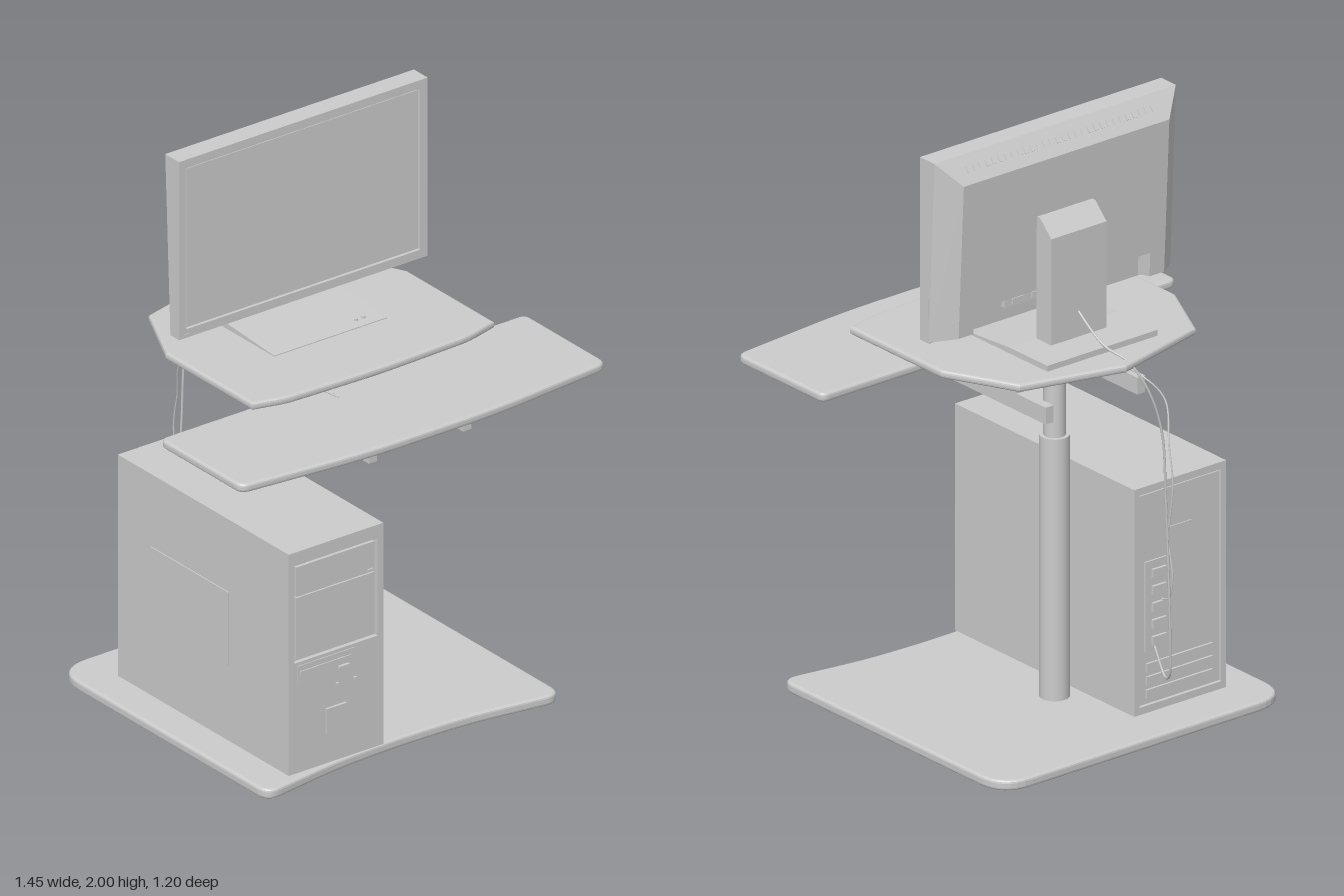
import * as THREE from 'three';

const mat = new THREE.MeshStandardMaterial({ color: 0xcccccc, side: THREE.DoubleSide });

// Closed outline from [x, y, cornerRadius] points
function outline(points) {
  const shape = new THREE.Shape();
  const n = points.length;
  const vec = (i) => new THREE.Vector2(points[(i + n) % n][0], points[(i + n) % n][1]);
  points.forEach(([, , r = 0], i) => {
    const p = vec(i);
    const a = vec(i - 1).sub(p).setLength(r).add(p);
    const b = vec(i + 1).sub(p).setLength(r).add(p);
    if (i === 0) shape.moveTo(a.x, a.y);
    else shape.lineTo(a.x, a.y);
    if (r > 0) shape.quadraticCurveTo(p.x, p.y, b.x, b.y);
  });
  shape.closePath();
  return shape;
}

const rect = (x0, x1, y0, y1) => outline([[x0, y0], [x1, y0], [x1, y1], [x0, y1]]);

// Mirror a right-hand list of points so the outline closes symmetrically
const mirrored = (half) =>
  outline([...half, ...half.filter((p) => p[0] > 0).reverse().map(([x, y, r]) => [-x, y, r])]);

// Move every vertex by a rule
function warp(geo, rule) {
  const pos = geo.attributes.position;
  const v = new THREE.Vector3();
  for (let i = 0; i < pos.count; i++) {
    rule(v.fromBufferAttribute(pos, i));
    pos.setXYZ(i, v.x, v.y, v.z);
  }
  geo.computeVertexNormals();
  return geo;
}

export function createModel() {
  const model = new THREE.Group();
  const add = (parent, name, geo) => {
    const mesh = new THREE.Mesh(geo, mat);
    mesh.name = name;
    parent.add(mesh);
    return mesh;
  };
  const group = (name) => {
    const g = new THREE.Group();
    g.name = name;
    model.add(g);
    return g;
  };
  // Box given by its limits
  const box = (parent, name, x0, x1, y0, y1, z0, z1) =>
    add(parent, name, new THREE.BoxGeometry(x1 - x0, y1 - y0, z1 - z0)
      .translate((x0 + x1) / 2, (y0 + y1) / 2, (z0 + z1) / 2));
  // Horizontal board with softened edges; the outline is in x, z
  const slab = (parent, name, shape, y0, y1) => {
    const b = 0.01;
    add(parent, name, new THREE.ExtrudeGeometry(shape, {
      depth: y1 - y0 - 2 * b, bevelSize: b, bevelThickness: b, bevelOffset: -b, bevelSegments: 3, curveSegments: 8,
    }).rotateX(Math.PI / 2).translate(0, y1 - b, 0));
  };
  // Upright plate; the outline is in x, y
  const plate = (shape, z0, z1) =>
    new THREE.ExtrudeGeometry(shape, { depth: z1 - z0, bevelEnabled: false }).translate(0, 0, z0);
  const framePlate = (outer, hole, z0, z1) => {
    const shape = rect(...outer);
    shape.holes.push(rect(...hole));
    return plate(shape, z0, z1);
  };

  // Desk: foot plate, telescopic post, shelf and keyboard tray
  const desk = group('desk');
  slab(desk, 'footPlate', mirrored([
    [0, 0.44, 0.1], [0.26, 0.45, 0.1], [0.585, 0.5, 0.06], [0.585, -0.605, 0.12],
  ]), 0, 0.035);
  const post = (name, r, y0, y1) =>
    add(desk, name, new THREE.CylinderGeometry(r, r, y1 - y0, 32).translate(0, (y0 + y1) / 2, -0.152));
  post('lowerPost', 0.049, 0.03, 0.935);
  post('upperPost', 0.036, 0.93, 1.27);
  slab(desk, 'keyboardTray', mirrored([
    [0.25, 0.592, 0.15], [0.725, 0.545, 0.035], [0.725, 0.12, 0.03],
  ]), 1.147, 1.177);
  slab(desk, 'monitorShelf', mirrored([
    [0, 0.325, 0.1], [0.36, 0.312, 0.04], [0.48, 0.28], [0.48, -0.17], [0.36, -0.417], [0, -0.51],
  ]), 1.263, 1.29);
  for (const s of [-1, 1]) {
    const x = s * 0.187;
    box(desk, 'trayArm', x - 0.016, x + 0.016, 1.09, 1.148, -0.355, 0.525);
    box(desk, 'armBracket', x - 0.016, x + 0.016, 1.14, 1.268, -0.21, -0.08);
  }

  // Computer tower
  const tower = group('computerTower');
  box(tower, 'towerCase', -0.46, -0.085, 0.035, 0.815, -0.433, 0.43);
  add(tower, 'frontBezel', framePlate([-0.46, -0.085, 0.035, 0.815], [-0.437, -0.108, 0.424, 0.768], 0.43, 0.445));
  box(tower, 'upperDriveCover', -0.428, -0.117, 0.655, 0.759, 0.428, 0.442);
  box(tower, 'lowerDriveCover', -0.428, -0.117, 0.433, 0.651, 0.428, 0.442);
  box(tower, 'driveButton', -0.147, -0.125, 0.66, 0.668, 0.44, 0.448);
  box(tower, 'diskSlotEdge', -0.425, -0.2, 0.408, 0.412, 0.44, 0.448);
  box(tower, 'diskSlotSide', -0.425, -0.421, 0.345, 0.408, 0.44, 0.448);
  box(tower, 'diskSlot', -0.415, -0.215, 0.378, 0.391, 0.44, 0.449);
  box(tower, 'ejectButton', -0.265, -0.225, 0.355, 0.365, 0.44, 0.456);
  for (const x of [-0.27, -0.2]) box(tower, 'indicator', x - 0.004, x + 0.004, 0.3, 0.309, 0.44, 0.454);
  box(tower, 'powerButton', -0.315, -0.235, 0.14, 0.23, 0.44, 0.454);
  box(tower, 'sidePanel', -0.464, -0.455, 0.3, 0.56, -0.27, 0.135);

  // Tower back: rim, power supply, sockets and slots
  add(tower, 'backRim', framePlate([-0.46, -0.085, 0.035, 0.815], [-0.44, -0.105, 0.06, 0.79], -0.445, -0.433));
  box(tower, 'powerSupply', -0.435, -0.11, 0.57, 0.785, -0.441, -0.43);
  box(tower, 'powerSocket', -0.32, -0.22, 0.64, 0.65, -0.445, -0.438);
  box(tower, 'socketPlate', -0.235, -0.135, 0.24, 0.55, -0.439, -0.43);
  for (let i = 0; i < 5; i++) {
    const y = 0.26 + i * 0.058;
    box(tower, 'socket', -0.215, -0.16, y, y + 0.03, -0.449, -0.435);
  }
  for (let i = 0; i < 3; i++) {
    const y = 0.08 + i * 0.045;
    box(tower, 'expansionSlot', -0.41, -0.14, y, y + 0.03, -0.441, -0.43);
  }

  // Monitor: the seam between the housings leans with height
  const monitor = group('monitor');
  const seam = (y) => -0.128 - 0.027 * (y - 1.37) / 0.63;
  add(monitor, 'screenBezel', framePlate([-0.493, 0.493, 1.372, 2], [-0.463, 0.463, 1.402, 1.97], -0.094, -0.083));
  add(monitor, 'frontHousing', warp(plate(rect(-0.493, 0.493, 1.372, 2), -0.2, -0.094),
    (v) => { if (v.z < -0.15) v.z = seam(v.y); }));
  box(monitor, 'screen', -0.457, 0.457, 1.408, 1.964, -0.1, -0.09);
  // Rear shell with a notch below, tapering toward the back
  add(monitor, 'rearShell', warp(
    plate(mirrored([[0.36, 1.47], [0.36, 1.376], [0.493, 1.376], [0.493, 2]]), -0.2, -0.1),
    (v) => {
      if (v.z > -0.15) { v.z = seam(v.y); return; }
      if (Math.abs(v.x) > 0.4) v.x = Math.sign(v.x) * 0.42;
      v.y = v.y > 1.9 ? 1.92 : Math.max(v.y, 1.388);
      v.z = -0.186 - 0.026 * (v.y - 1.388) / 0.532;
    }));
  for (let i = 0; i < 30; i++) {
    const vent = add(monitor, 'vent', new THREE.BoxGeometry(0.016, 0.004, 0.022));
    vent.position.set(-0.377 + i * 0.026, 1.961, -0.183);
    vent.rotation.x = -0.95;
  }
  box(monitor, 'socketBar', -0.2, 0.2, 1.42, 1.46, -0.15, -0.13);
  for (const x of [-0.15, -0.07, 0.07, 0.15]) box(monitor, 'monitorSocket', x - 0.025, x + 0.025, 1.43, 1.45, -0.158, -0.14);
  box(monitor, 'statusLight', -0.472, -0.452, 1.38, 1.386, -0.09, -0.08);
  box(monitor, 'sideButtons', 0.485, 0.495, 1.46, 1.53, -0.127, -0.115);

  // Stand: side profiles in z, y extruded across x
  const acrossX = (name, profile, halfWidth) =>
    add(monitor, name, plate(outline(profile.map(([z, y]) => [-z, y])), -halfWidth, halfWidth).rotateY(Math.PI / 2));
  acrossX('standBase', [[0.06, 1.288], [0.06, 1.293], [-0.2, 1.31], [-0.39, 1.31], [-0.39, 1.288]], 0.225);
  acrossX('standNeck', [[-0.2, 1.3], [-0.2, 1.73], [-0.217, 1.73], [-0.273, 1.675], [-0.273, 1.3]], 0.113);
  for (const x of [0.13, 0.16]) {
    add(monitor, 'standButton', new THREE.CylinderGeometry(0.007, 0.007, 0.008, 12)).position.set(x, 1.298, 0.02);
  }

  // Cables
  const cable = (name, r, points) => add(model, name, new THREE.TubeGeometry(
    new THREE.CatmullRomCurve3(points.map((p) => new THREE.Vector3(...p))), 90, r, 6));
  cable('monitorCable', 0.004, [
    [0, 1.46, -0.2], [0, 1.39, -0.28], [0, 1.32, -0.4], [-0.03, 1.285, -0.48], [-0.07, 1.2, -0.525],
    [-0.113, 1.05, -0.545], [-0.125, 0.8, -0.553], [-0.14, 0.3, -0.556], [-0.15, 0.19, -0.54],
    [-0.165, 0.17, -0.5], [-0.17, 0.26, -0.44],
  ]);
  cable('keyboardCable', 0.003, [
    [-0.1, 1.178, 0.235], [-0.12, 1.181, 0.16], [-0.15, 1.155, 0.09], [-0.17, 1.15, -0.1], [-0.19, 1.15, -0.35],
    [-0.23, 1.08, -0.42], [-0.21, 0.94, -0.465], [-0.205, 0.82, -0.49], [-0.2, 0.62, -0.475],
    [-0.2, 0.5, -0.495], [-0.2, 0.42, -0.475], [-0.2, 0.41, -0.44],
  ]);
  return model;
}
